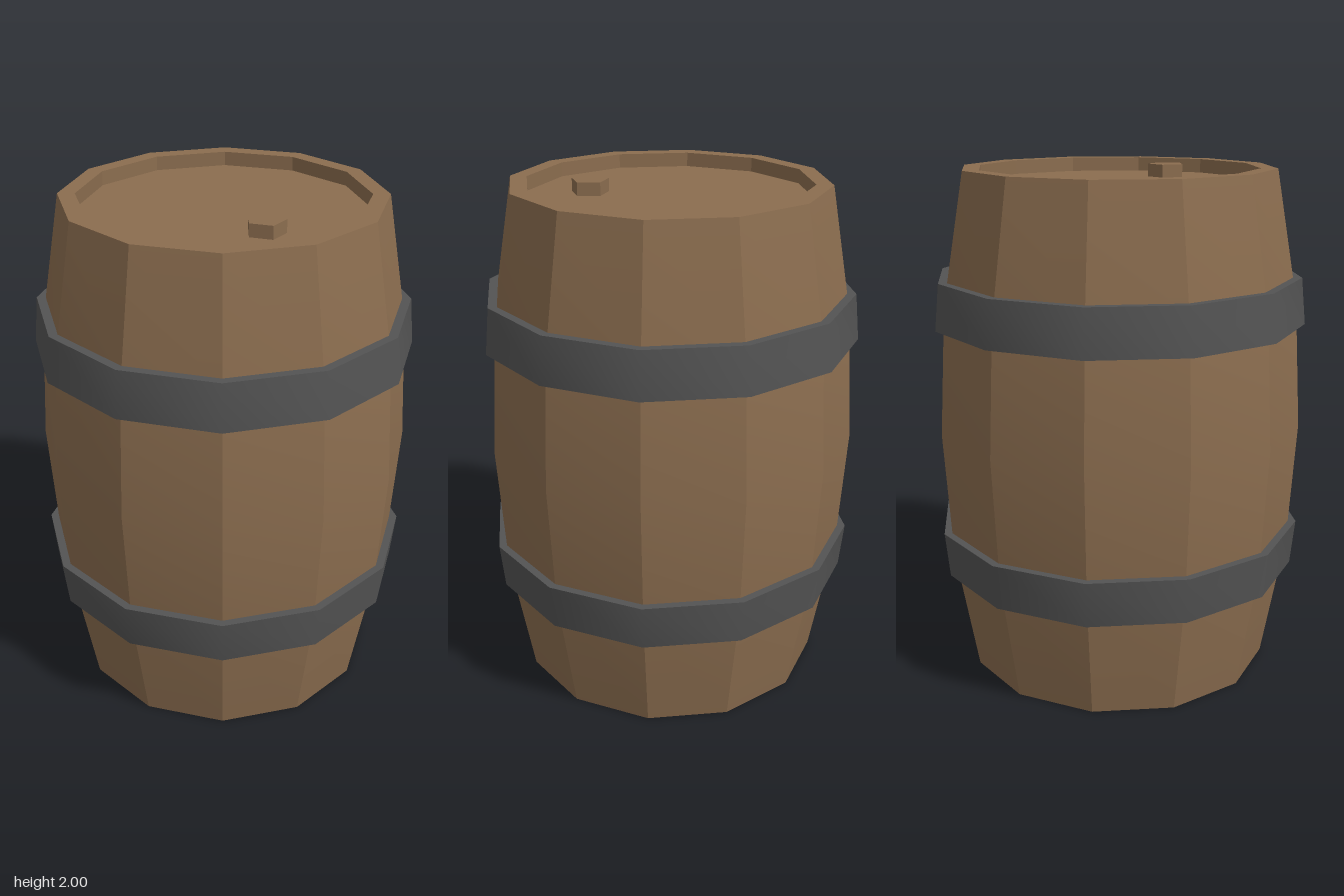
import * as THREE from 'three';
import { toCreasedNormals } from 'three/addons/utils/BufferGeometryUtils.js';

const SIDES = 12;

// Twelve-sided turned shape from [radius, height] pairs, listed bottom to top
function turned(name, profile, material, crease) {
  const points = profile.map(([r, y]) => new THREE.Vector2(r, y));
  const geometry = toCreasedNormals(new THREE.LatheGeometry(points, SIDES), crease);
  const mesh = new THREE.Mesh(geometry, material);
  mesh.name = name;
  return mesh;
}

export function createModel() {
  const wood = new THREE.MeshStandardMaterial({ color: 0x8b6d4f });
  wood.name = 'wood';
  const iron = new THREE.MeshStandardMaterial({ color: 0x535353 });
  iron.name = 'dark iron';

  const group = new THREE.Group();
  group.name = 'barrel';

  // Bulging staves with a recessed head at each end
  const recess = 0.055;
  group.add(turned('barrelBody', [
    [0, recess], [0.545, recess], [0.545, 0],
    [0.61, 0], [0.698, 0.5], [0.728, 1], [0.698, 1.5], [0.61, 2],
    [0.545, 2], [0.545, 2 - recess], [0, 2 - recess],
  ], wood, 0.45));

  // Iron hoops, each wider towards the middle of the barrel
  const hoop = [[0.66, 0.41], [0.717, 0.41], [0.735, 0.59], [0.68, 0.59]];
  group.add(turned('lowerHoop', hoop, iron, 0.7));
  const mirrored = hoop.map(([r, y]) => [r, 2 - y]).reverse();
  group.add(turned('upperHoop', mirrored, iron, 0.7));

  // Five-sided bung on the top head
  const start = THREE.MathUtils.degToRad(-23);
  const bungShape = new THREE.CylinderGeometry(0.074, 0.074, 0.06, 5, 1, false, start);
  const bung = new THREE.Mesh(toCreasedNormals(bungShape, 0.5), wood);
  bung.name = 'bung';
  bung.position.set(0.26, 1.965, 0.155);
  group.add(bung);

  return group;
}
